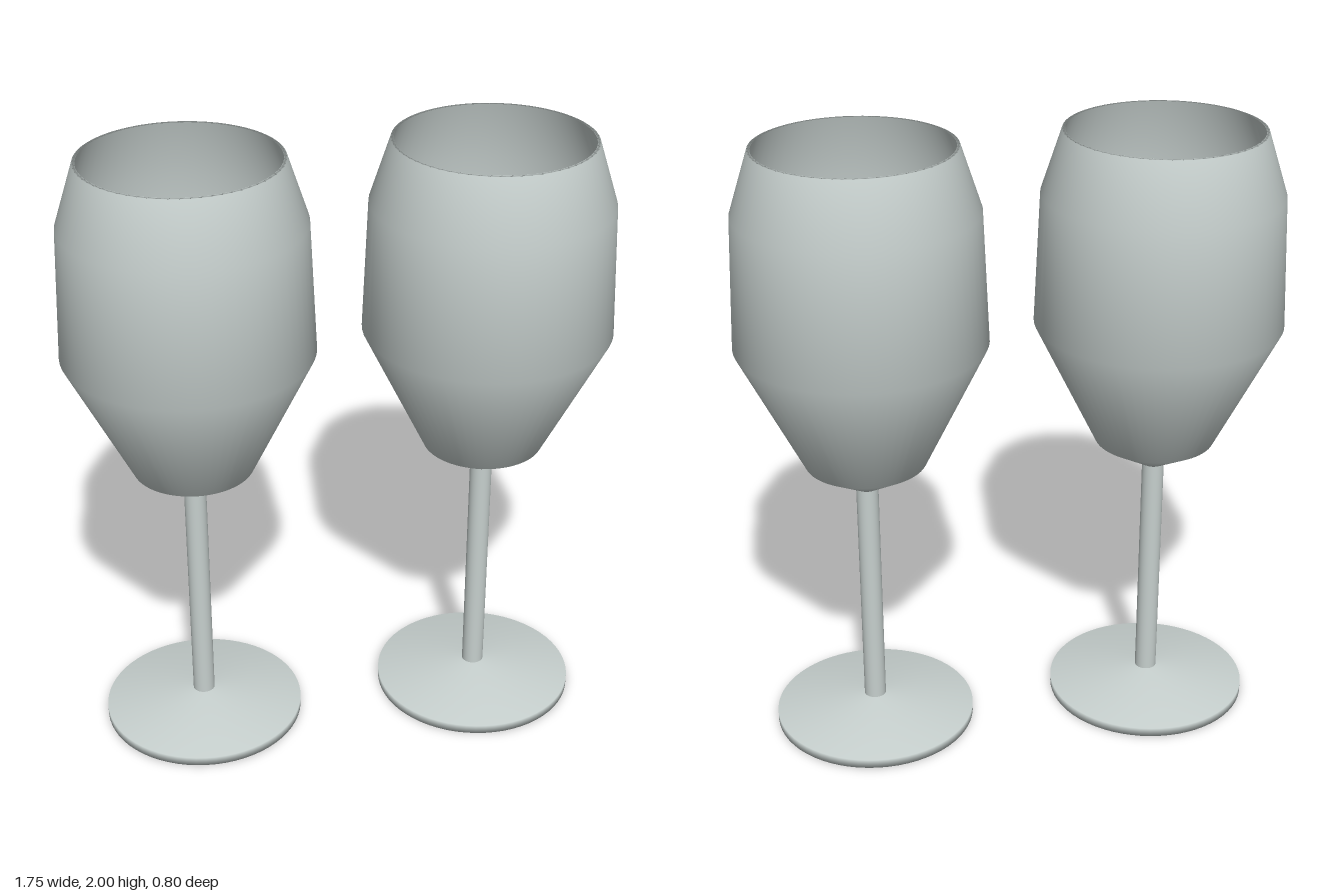
import * as THREE from 'three';

const SEGMENTS = 64;

// Revolve a list of [radius, height] points
function lathe(name, profile, material) {
  const points = profile.map(([r, y]) => new THREE.Vector2(r, y));
  const mesh = new THREE.Mesh(new THREE.LatheGeometry(points, SEGMENTS), material);
  mesh.name = name;
  return mesh;
}

export function createModel() {
  const glass = new THREE.MeshStandardMaterial({ color: 0xc6cfcd });
  glass.name = 'pale glass';
  const redWine = new THREE.MeshStandardMaterial({ color: 0x700c24 });
  redWine.name = 'red wine';

  // Foot: flat disc with a thin edge, sloping up to the stem
  const foot = [[0, 0], [0.332, 0], [0.332, 0.03], [0.036, 0.075]];
  const stem = [[0.036, 0.075], [0.036, 0.865]];
  // Bowl: outer wall up to the rim, then the inner wall back down
  const bowl = [
    [0.036, 0.865], [0.195, 0.96], [0.398, 1.375], [0.38, 1.8], [0.315, 2],
    [0.305, 2], [0.371, 1.8], [0.388, 1.375], [0.188, 0.968], [0, 0.885],
  ];
  // Wine fills the lower bowl up to its widest point
  const wine = [[0, 0.965], [0.182, 0.97], [0.384, 1.375], [0, 1.375]];

  const model = new THREE.Group();
  model.name = 'pairOfWineGlasses';
  for (const side of [1, -1]) {
    const wineGlass = new THREE.Group();
    wineGlass.name = side > 0 ? 'leftWineGlass' : 'rightWineGlass';
    wineGlass.add(
      lathe('foot', foot, glass),
      lathe('stem', stem, glass),
      lathe('bowl', bowl, glass),
      lathe('wine', wine, redWine),
    );
    wineGlass.position.x = side * 0.475;
    model.add(wineGlass);
  }
  return model;
}
